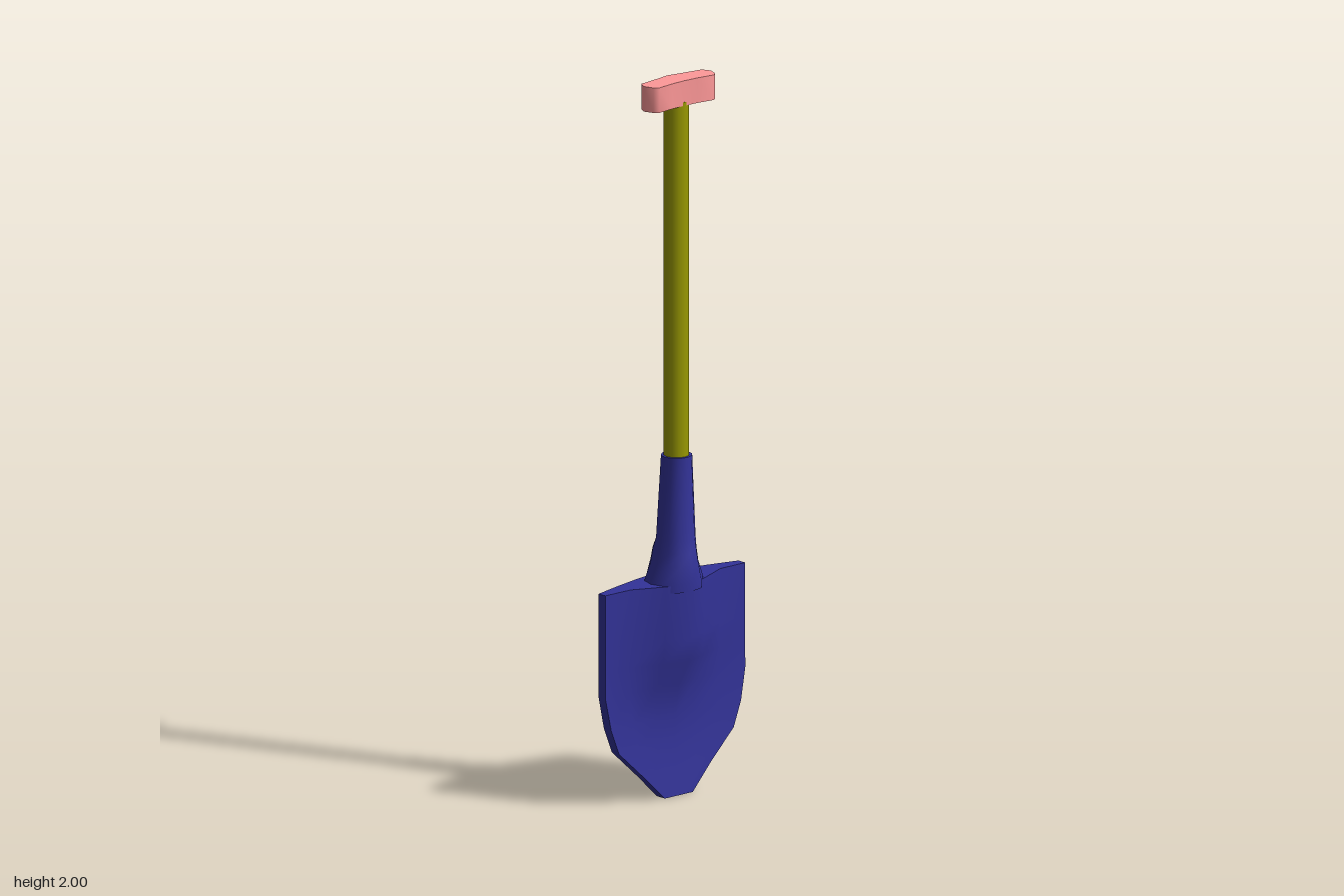
import * as THREE from 'three';
import { toCreasedNormals } from 'three/addons/utils/BufferGeometryUtils.js';

const paint = (color) => new THREE.MeshStandardMaterial({ color });

// Skin a stack of equal-length rings (bottom to top, each running +x to +z) and cap both ends
function loft(rings, crease) {
  const n = rings[0].length;
  const pos = rings.flat(2);
  const index = [];
  for (let i = 0; i < rings.length - 1; i++) {
    for (let j = 0; j < n; j++) {
      const k = (j + 1) % n;
      const a = i * n + j, b = i * n + k;
      index.push(a, a + n, b, b, a + n, b + n);
    }
  }
  const cap = (row, up) => {
    const centre = pos.length / 3;
    const ring = rings[row];
    for (let c = 0; c < 3; c++) pos.push(ring.reduce((s, p) => s + p[c], 0) / n);
    for (let j = 0; j < n; j++) {
      const a = row * n + j, b = row * n + (j + 1) % n;
      index.push(centre, up ? b : a, up ? a : b);
    }
  };
  cap(0, false);
  cap(rings.length - 1, true);
  const g = new THREE.BufferGeometry();
  g.setAttribute('position', new THREE.Float32BufferAttribute(pos, 3));
  g.setIndex(index);
  return toCreasedNormals(g, crease);
}

// Blade section: depths of front and back listed from the centre line out to the edge
const SPREAD = [0, 0.28, 0.64, 1];
function bladeRing([y, w, front, back]) {
  const ring = [];
  for (let i = 3; i >= 0; i--) ring.push([w * SPREAD[i], y, front[i]]);
  for (let i = 1; i <= 3; i++) ring.push([-w * SPREAD[i], y, front[i]]);
  for (let i = 3; i >= 0; i--) ring.push([-w * SPREAD[i], y, back[i]]);
  for (let i = 1; i <= 3; i++) ring.push([w * SPREAD[i], y, back[i]]);
  return ring;
}

// Oval section with its own front and back depth
function ovalRing([y, rx, zFront, zBack], sides = 12) {
  return Array.from({ length: sides }, (_, i) => {
    const a = (i / sides) * Math.PI * 2;
    return [rx * Math.cos(a), y, (zFront + zBack) / 2 + ((zFront - zBack) / 2) * Math.sin(a)];
  });
}

export function createModel() {
  const model = new THREE.Group();
  const add = (name, geometry, material) => {
    const mesh = new THREE.Mesh(geometry, material);
    mesh.name = name;
    model.add(mesh);
    return mesh;
  };
  const blue = paint(0x333399);

  // Blade: raised spine at the top front, scooped below, bowed back
  const bladeRows = [
    [0.00, 0.05, [0.020, 0.020, 0.020, 0.020], [-0.020, -0.019, -0.017, -0.012]],
    [0.07, 0.12, [0.012, 0.012, 0.013, 0.014], [-0.037, -0.033, -0.026, -0.016]],
    [0.15, 0.205, [0.004, 0.004, 0.006, 0.010], [-0.050, -0.044, -0.032, -0.020]],
    [0.22, 0.232, [0.004, 0.003, 0.002, 0.009], [-0.056, -0.050, -0.036, -0.021]],
    [0.31, 0.25, [0.020, 0.010, 0.000, 0.006], [-0.061, -0.055, -0.040, -0.022]],
    [0.38, 0.25, [0.058, 0.034, 0.002, 0.005], [-0.066, -0.059, -0.043, -0.022]],
    [0.45, 0.25, [0.070, 0.044, 0.004, 0.005], [-0.072, -0.063, -0.045, -0.022]],
    [0.60, 0.25, [0.073, 0.046, 0.006, 0.005], [-0.076, -0.066, -0.046, -0.022]],
  ];
  add('blade', loft(bladeRows.map(bladeRing), 0.9), blue);

  // Socket flaring down into the blade
  const socketRows = [
    [0.58, 0.085, 0.073, -0.075],
    [0.605, 0.082, 0.075, -0.076],
    [0.65, 0.062, 0.074, -0.070],
    [0.685, 0.058, 0.067, -0.062],
    [0.72, 0.055, 0.060, -0.045],
    [0.95, 0.043, 0.053, -0.032],
  ];
  add('socket', loft(socketRows.map((r) => ovalRing(r)), 0.9), blue);

  // Shaft
  const shaft = add('shaft', new THREE.CylinderGeometry(0.035, 0.035, 1.02, 12), paint(0x999900));
  shaft.position.set(0, 1.43, 0.01);

  // Cross grip: mirrored outline seen from above, extruded upwards
  const half = [[0, 0.043], [0.045, 0.045], [0.098, 0.052], [0.11, 0.042], [0.12, 0.014], [0.108, -0.01], [0.04, -0.02], [0, -0.027]];
  const mirrored = half.slice(1, -1).reverse().map(([x, z]) => [-x, z]);
  const outline = new THREE.Shape([...half, ...mirrored].map(([x, z]) => new THREE.Vector2(x, -z)));
  const gripGeometry = new THREE.ExtrudeGeometry(outline, { depth: 0.07, bevelEnabled: false });
  gripGeometry.rotateX(-Math.PI / 2);
  const grip = add('grip', toCreasedNormals(gripGeometry, 0.9), paint(0xff9999));
  grip.position.y = 1.93;

  return model;
}
